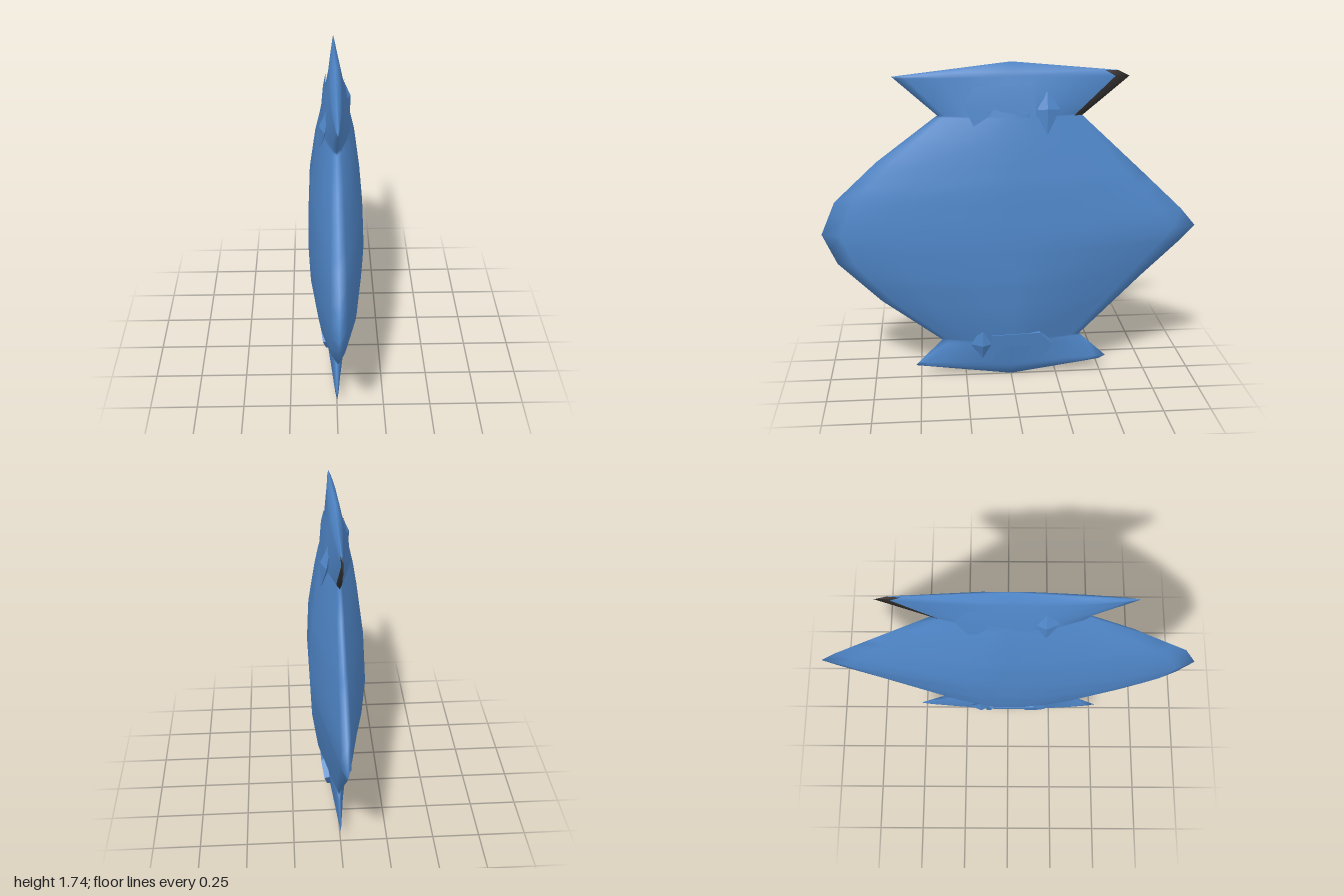
import * as THREE from 'three';
import { mergeVertices } from 'three/addons/utils/BufferGeometryUtils.js';

// Piecewise linear lookup
function lerpTable(table, v) {
  for (let i = 1; i < table.length; i++) {
    const [a, fa] = table[i - 1], [b, fb] = table[i];
    if (v <= b) return fa + (fb - fa) * (v - a) / (b - a);
  }
  return table[table.length - 1][1];
}

// Outline and half thickness by height
const frontEdge = [[0, 0], [0.07, 0.53], [0.22, 0.38], [0.46, 0.7], [0.68, 0.925], [0.845, 1],
  [1.02, 0.925], [1.23, 0.7], [1.47, 0.38], [1.67, 0.605], [1.74, 0]];
const backEdge = [[0, 0], [0.07, 0.49], [0.09, 0.53], [0.23, 0.38], [0.56, 0.71], [0.76, 0.92], [0.845, 1],
  [0.94, 0.92], [1.15, 0.7], [1.46, 0.37], [1.66, 0.61], [1.69, 0.55], [1.74, 0]];
const halfThick = [[0, 0], [0.05, 0.026], [0.2, 0.063], [0.35, 0.1], [0.6, 0.132], [0.845, 0.142],
  [1.1, 0.132], [1.35, 0.1], [1.52, 0.064], [1.69, 0.026], [1.74, 0]];
const rows = [...new Set([...frontEdge, ...backEdge, ...halfThick].map(p => p[0]))].sort((a, b) => a - b);

// Half cross-section from front tip to back tip: [fraction of the edge, fraction of the thickness]
const section = [[1, 0], [0.9, 0.28], [0.62, 0.7], [0.22, 1], [0, 1],
  [-0.22, 1], [-0.6, 0.54], [-0.88, 0.18], [-1, 0]];
const loop = [...section, ...section.slice(1, -1).reverse().map(([f, t]) => [f, -t])];

function bodyGeometry() {
  const pos = [], blue = [], black = [], n = loop.length;
  for (const y of rows) {
    const zf = lerpTable(frontEdge, y), zb = lerpTable(backEdge, y), h = lerpTable(halfThick, y);
    for (const [f, t] of loop) pos.push(t * h, y, f > 0 ? f * zf : f * zb);
  }
  for (let i = 0; i < rows.length - 1; i++) {
    const mid = (rows[i] + rows[i + 1]) / 2;
    for (let j = 0; j < n; j++) {
      const k = (j + 1) % n, a = i * n + j, b = i * n + k;
      const dark = mid > 1.46 && mid < 1.69 && Math.min(loop[j][0], loop[k][0]) === -1;
      (dark ? black : blue).push(a, b, b + n, a, b + n, a + n);
    }
  }
  let g = new THREE.BufferGeometry();
  g.setAttribute('position', new THREE.Float32BufferAttribute(pos, 3));
  g.setIndex([...blue, ...black]);
  g = mergeVertices(g, 1e-5);
  g.computeVertexNormals();
  g.addGroup(0, blue.length, 0);
  g.addGroup(blue.length, black.length, 1);
  return g;
}

// Faceted fan around a centre; points are [x, y, z]
function fanGeometry(centre, rim) {
  const g = new THREE.BufferGeometry();
  g.setAttribute('position', new THREE.Float32BufferAttribute([centre, ...rim].flat(), 3));
  g.setIndex(rim.flatMap((_, i) => [0, i + 1, (i + 1) % rim.length + 1]));
  g.computeVertexNormals();
  return g;
}

export function createModel() {
  const blue = new THREE.MeshStandardMaterial({ color: 0x4f86c8, side: THREE.DoubleSide });
  blue.name = 'blue';
  const black = new THREE.MeshStandardMaterial({ color: 0x33302e, side: THREE.DoubleSide });
  black.name = 'charcoal';

  const model = new THREE.Group();
  model.name = 'flatBody';
  const add = (parent, name, geometry, material = blue) => {
    const mesh = new THREE.Mesh(geometry, material);
    mesh.name = name;
    parent.add(mesh);
    return mesh;
  };

  // Lens-shaped body with flared ends and a dark rear upper tip
  add(model, 'body', bodyGeometry(), [blue, black]);

  // Raised details, repeated on the other face by a half turn
  for (let s = 0; s < 2; s++) {
    const side = new THREE.Group();
    side.name = s ? 'rightDetails' : 'leftDetails';
    side.rotation.y = s * Math.PI;
    model.add(side);

    add(side, 'upperFacet', fanGeometry([0.068, 1.53, 0], [
      [0.058, 1.53, 0.25], [0.072, 1.41, 0.19], [0.08, 1.42, -0.12],
      [0.048, 1.62, -0.12], [0.046, 1.62, 0.19]]));

    // Pointed ridges: height, depth position, tilt following the surface
    for (const [name, x, y, z, tilt, half] of [
      ['upperRidge', 0.055, 1.5, -0.18, 0.2, 0.13],
      ['lowerRidge', 0.055, 0.21, 0.16, -0.2, 0.11]]) {
      const g = new THREE.OctahedronGeometry(1).scale(0.028, half, 0.065);
      const ridge = add(side, name, g);
      ridge.position.set(x, y, z);
      ridge.rotation.z = tilt;
    }

    // Bracket with an arrow-shaped end
    const shape = new THREE.Shape([[-0.11, 0.275], [0.15, 0.285], [0.22, 0.21], [0.16, 0.12],
      [0.1, 0.13], [0.1, 0.2], [-0.1, 0.2], [-0.1, 0.12], [-0.13, 0.12]].map(p => new THREE.Vector2(...p)));
    const g = new THREE.ExtrudeGeometry(shape, { depth: 0.03, bevelEnabled: false });
    g.translate(0, -0.2, 0).rotateY(Math.PI / 2);
    const bracket = add(side, 'lowerBracket', g);
    bracket.position.set(0.04, 0.2, 0);
    bracket.rotation.z = -0.2;
  }
  return model;
}
